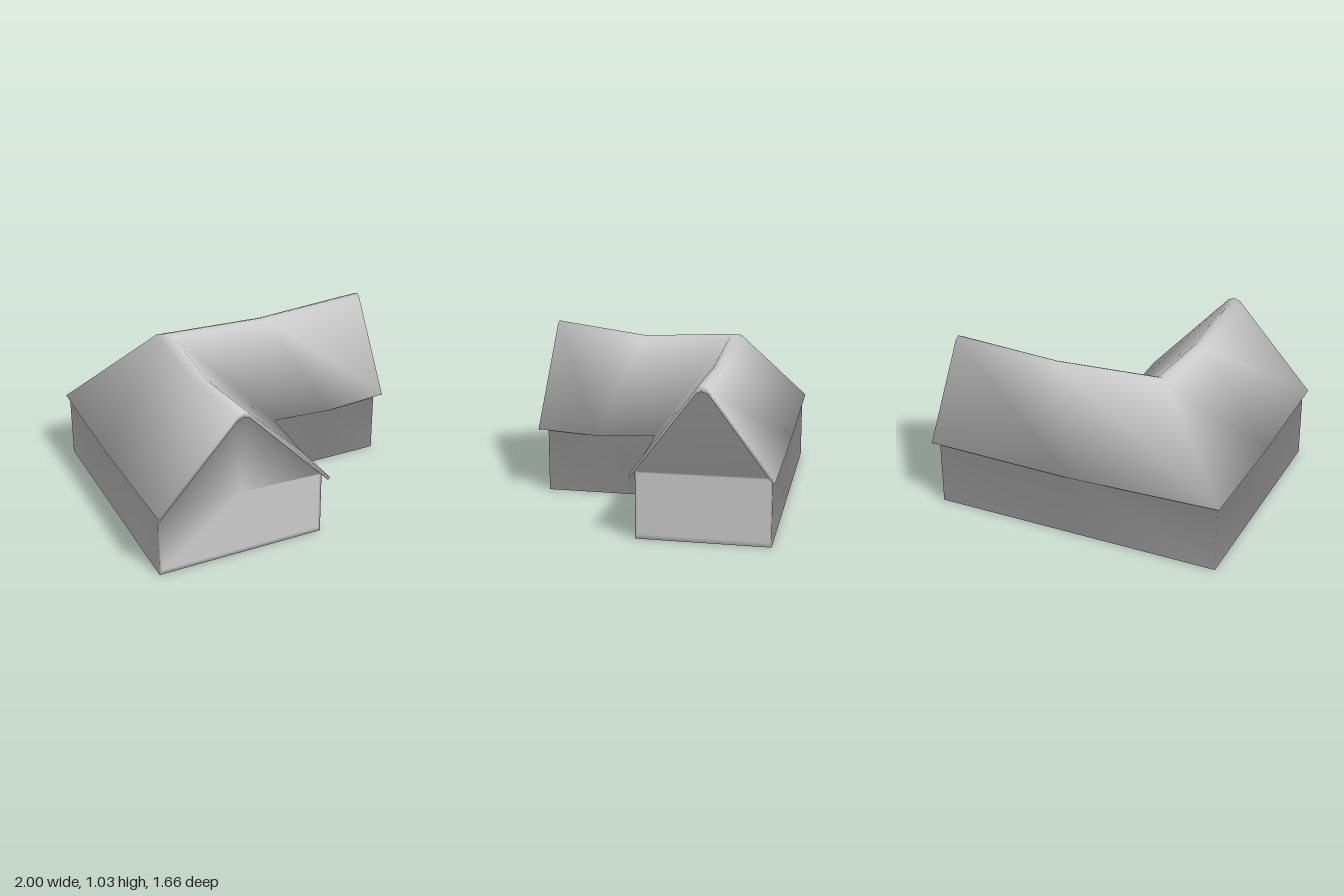
import * as THREE from 'three';

// House section: wall base, wall top, eave, three ridge points, eave, wall top, wall base.
// It runs from the front end, round the corner, to the side end.
const SECTION_X = [-0.98, -0.98, -1, -0.48, -0.44, -0.4, 0.15, 0.12, 0.12];
const SECTION_Z = [-0.81, -0.81, -0.83, -0.43, -0.39, -0.36, 0.05, 0.02, 0.02];
const FRONT_Z = [0.77, 0.77, 0.83, 0.83, 0.83, 0.83, 0.83, 0.77, 0.77];
const SIDE_X = [0.92, 0.92, 0.97, 0.997, 1, 0.997, 0.97, 0.92, 0.92];
// Heights at front end, front wing middle, corner, side wing middle, side end
const RIDGE_Y = [1.035, 0.955, 0.99, 0.955, 0.99];
const OUTER_EAVE_Y = [0.45, 0.42, 0.44, 0.41, 0.425];
const INNER_EAVE_Y = [0.425, 0.4, 0.42, 0.395, 0.42];
const N = SECTION_X.length;

function sectionPoint(s, k) {
  const [x, z] = [SECTION_X[k], SECTION_Z[k]];
  const eave = (k < 4 ? OUTER_EAVE_Y : INNER_EAVE_Y)[s];
  const ridge = RIDGE_Y[s];
  const y = [0, eave + 0.01, eave, ridge - 0.015, ridge, ridge - 0.015, eave, eave + 0.01, 0][k];
  return new THREE.Vector3(
    [x, x, x, (x + SIDE_X[k]) / 2, SIDE_X[k]][s],
    y,
    [FRONT_Z[k], (FRONT_Z[k] + z) / 2, z, z, z][s],
  );
}

// Smooth normals, each face weighted by its angle at the corner
function smoothNormals(points, indices) {
  const normals = points.map(() => new THREE.Vector3());
  for (let i = 0; i < indices.length; i += 3) {
    const ids = indices.slice(i, i + 3);
    const [a, b, c] = ids.map((id) => points[id]);
    const faceNormal = new THREE.Triangle(a, b, c).getNormal(new THREE.Vector3());
    ids.forEach((id, j) => {
      const toNext = points[ids[(j + 1) % 3]].clone().sub(points[id]);
      const toLast = points[ids[(j + 2) % 3]].clone().sub(points[id]);
      normals[id].addScaledVector(faceNormal, toNext.angleTo(toLast));
    });
  }
  return normals.map((n) => n.normalize());
}

export function createModel() {
  const points = [];
  const parts = { walls: [], roof: [], frontGable: [], sideGable: [] };
  const add = (p) => points.push(p) - 1;
  const face = (part, ids) => {
    for (let i = 1; i < ids.length - 1; i++) parts[part].push(ids[0], ids[i], ids[i + 1]);
  };

  // Long walls, floor, soffits and roof slopes
  for (let s = 0; s < 5; s++) {
    for (let k = 0; k < N; k++) add(sectionPoint(s, k));
  }
  for (let s = 0; s < 4; s++) {
    for (let k = 0; k < N; k++) {
      const a = s * N + k;
      const b = s * N + (k + 1) % N;
      face(k > 0 && k < 7 ? 'roof' : 'walls', [a, b, b + N, a + N]);
    }
  }

  // End of a wing: verge, recessed gable and end wall
  function addEnd(s, axis, gable) {
    const isFront = s === 0;
    const r = (k) => s * N + k;
    const at = (k) => points[r(k)].clone();
    const endFace = (part, ...ids) => face(part, isFront ? ids : [ids[0], ...ids.slice(1).reverse()]);

    // Lower edge of the verge, and the gable's edge set back to the wall
    const verge = {};
    const rim = { 2: r(1), 6: r(7) };
    for (let k = 2; k <= 6; k++) {
      const p = at(k);
      if (k === 2) p.lerp(at(3), 0.03);
      if (k === 6) p.lerp(at(5), 0.03);
      p.y -= 0.03;
      verge[k] = add(p);
      if (k > 2 && k < 6) rim[k] = add(p.clone().setComponent(axis, at(0).getComponent(axis)));
    }
    for (let k = 2; k < 6; k++) {
      endFace('roof', r(k), verge[k], verge[k + 1], r(k + 1));
      endFace('roof', verge[k], rim[k], rim[k + 1], verge[k + 1]);
    }
    endFace('roof', r(1), verge[2], r(2));
    endFace('roof', r(6), verge[6], r(7));

    // End wall panel with a narrow border
    const inset = (t, y) => add(at(0).lerp(at(8), t).setY(y));
    const topInset = (t, drop) => {
      const p = at(1).lerp(at(7), t);
      p.y -= drop;
      return add(p);
    };
    const lowOuter = inset(0.015, 0.03);
    const lowMiddle = inset(0.5, 0.03);
    const lowInner = inset(0.985, 0.03);
    const topInner = topInset(0.985, 0.012);
    const topMiddle = topInset(0.5, isFront ? 0 : 0.012);
    endFace('walls', r(0), r(8), lowInner, lowMiddle, lowOuter);
    endFace('walls', r(8), r(7), topInner, lowInner);
    endFace('walls', lowMiddle, lowInner, topInner, topMiddle);
    if (isFront) {
      endFace('walls', r(0), lowOuter, r(1));
      endFace('walls', lowOuter, lowMiddle, topMiddle, r(1));
      endFace('walls', topMiddle, topInner, r(7));
      endFace(gable, topMiddle, r(7), rim[5], rim[4], rim[3], r(1));
    } else {
      const topOuter = topInset(0.015, 0.012);
      endFace('walls', r(0), lowOuter, topOuter, r(1));
      endFace('walls', lowOuter, lowMiddle, topMiddle, topOuter);
      endFace('walls', topMiddle, topInner, r(7), r(1), topOuter);
      endFace(gable, r(7), rim[5], rim[4], rim[3], r(1));
    }
  }
  addEnd(0, 2, 'frontGable');
  addEnd(4, 0, 'sideGable');

  // The parts share points and normals, so shading runs on from one to the next
  const normals = smoothNormals(points, Object.values(parts).flat());
  const attribute = (list) => new THREE.Float32BufferAttribute(list.flatMap((v) => v.toArray()), 3);
  const position = attribute(points);
  const normal = attribute(normals);
  const material = new THREE.MeshStandardMaterial({ color: 0xcccccc, side: THREE.DoubleSide });
  const house = new THREE.Group();
  house.name = 'house';
  for (const [name, index] of Object.entries(parts)) {
    const geometry = new THREE.BufferGeometry();
    geometry.setAttribute('position', position);
    geometry.setAttribute('normal', normal);
    geometry.setIndex(index);
    const mesh = new THREE.Mesh(geometry, material);
    mesh.name = name;
    house.add(mesh);
  }
  return house;
}
